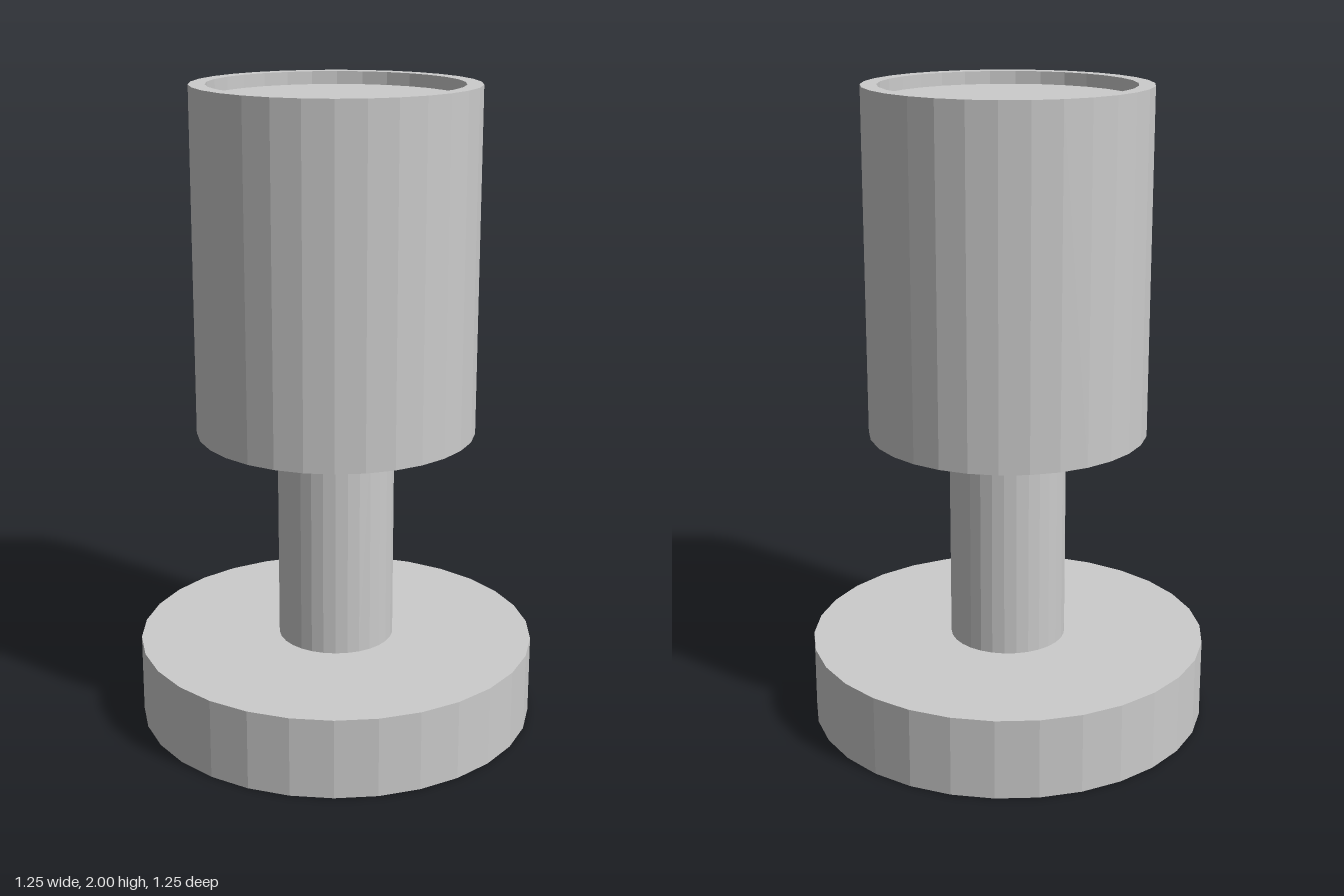
import * as THREE from 'three';

const SIDES = 30;

export function createModel() {
  const model = new THREE.Group();
  const material = new THREE.MeshStandardMaterial({ color: 0xcccccc, flatShading: true });

  const add = (name, geometry, y = 0) => {
    const mesh = new THREE.Mesh(geometry, material);
    mesh.name = name;
    mesh.position.y = y;
    model.add(mesh);
  };

  // Upright faceted disc or post between two heights
  const addCylinder = (name, radius, bottom, top) =>
    add(name, new THREE.CylinderGeometry(radius, radius, top - bottom, SIDES), (bottom + top) / 2);

  addCylinder('base', 0.627, 0, 0.252);
  addCylinder('stem', 0.183, 0.252, 0.935);

  // Head with a raised rim around a shallow recess
  const profile = [
    [0, 0.935], [0.434, 0.935], [0.434, 2], [0.385, 2], [0.385, 1.96], [0, 1.96],
  ].map(([r, y]) => new THREE.Vector2(r, y));
  add('head', new THREE.LatheGeometry(profile, SIDES));

  return model;
}
